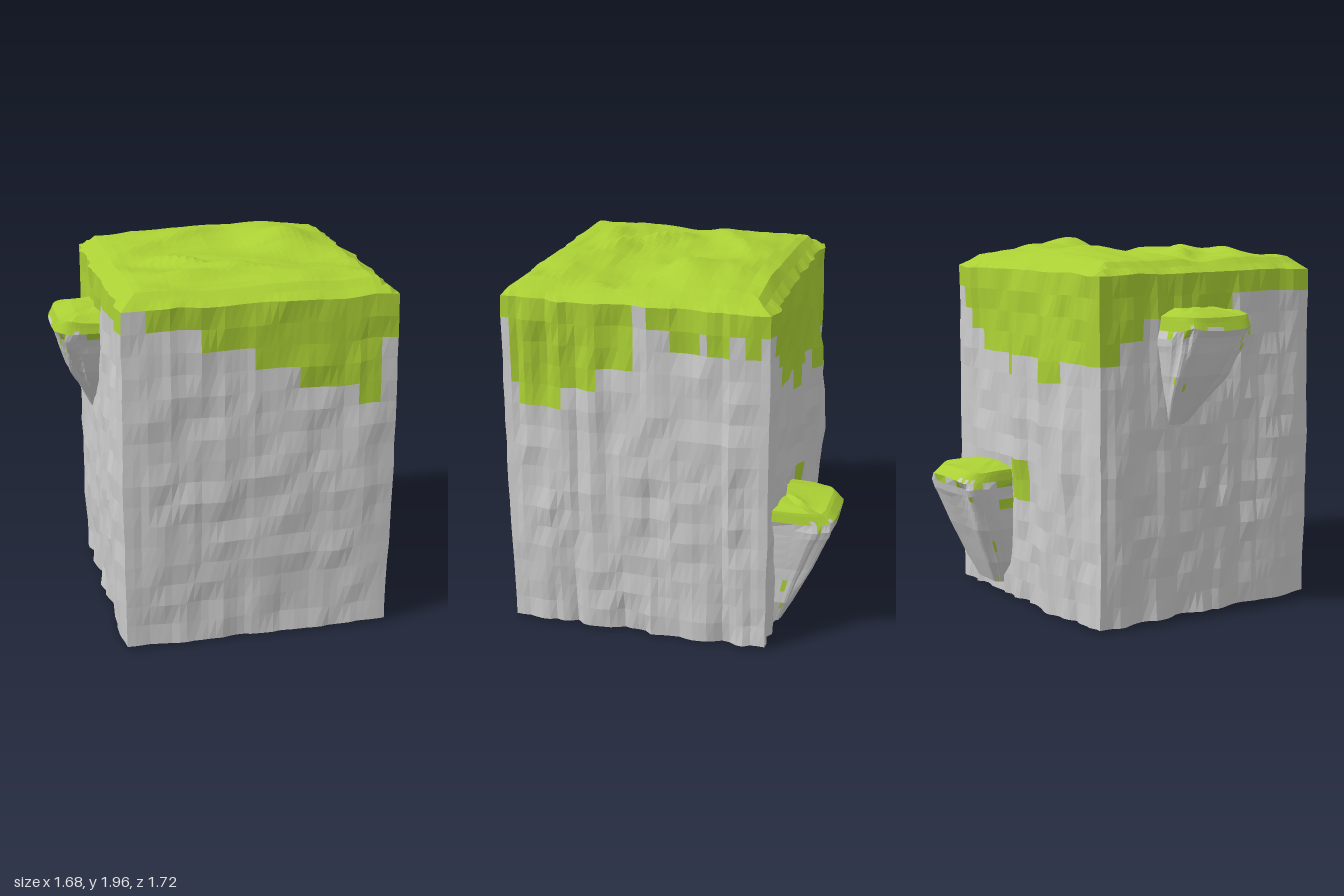
import * as THREE from 'three';

const ROCK = new THREE.MeshStandardMaterial({ color: 0xcccccc, flatShading: true });
const MOSS = new THREE.MeshStandardMaterial({ color: 0xaacf34, flatShading: true });
const X0 = -0.6, X1 = 0.78, Z0 = -0.55, Z1 = 0.81;
const N = 36, ROWS = 16;
const lerp = THREE.MathUtils.lerp, clamp = THREE.MathUtils.clamp;

// Seeded value noise in -1..1
function hash(i, j, s) {
  const v = Math.sin(i * 127.1 + j * 311.7 + s * 74.7) * 43758.5453;
  return 2 * (v - Math.floor(v)) - 1;
}
function noise(a, b, s) {
  const i = Math.floor(a), j = Math.floor(b);
  return lerp(lerp(hash(i, j, s), hash(i + 1, j, s), a - i),
    lerp(hash(i, j + 1, s), hash(i + 1, j + 1, s), a - i), b - j);
}
const bell = (x, c, s) => Math.exp(-(((x - c) / s) ** 2));

// Humps of the top, [x, z, width, length behind, length in front, rise, skew]
const HUMPS = [
  [0.42, -0.05, 0.2, 0.2, 0.13, 0.085, 0], [0.3, -0.3, 0.35, 0.14, 0.15, 0.035, 0],
  [-0.12, -0.2, 0.3, 0.25, 0.07, 0.045, -0.5], [-0.22, 0.24, 0.12, 0.1, 0.06, 0.055, 0.5],
  [0.05, 0.44, 0.2, 0.08, 0.06, 0.04, 0.3], [-0.2, 0.53, 0.16, 0.08, 0.07, 0.045, 0],
  [0.5, 0.24, 0.25, 0.1, 0.12, -0.035, 0], [0.4, -0.5, 0.25, 0.05, 0.05, 0.03, 0],
  [-0.4, 0.1, 0.18, 0.12, 0.1, -0.02, 0], [0.3, 0.6, 0.3, 0.08, 0.06, 0.015, 0],
];
function height(x, z) {
  const edge = Math.min(x - X0, X1 - x, z - Z0, Z1 - z);
  let h = 0.055 + 0.014 * noise(x * 5, z * 9, 3) + 0.006 * noise(x * 9, z * 20, 4);
  for (const [cx, cz, sx, back, front, rise, skew] of HUMPS) {
    const dz = z - cz - skew * (x - cx);
    h += rise * bell(x, cx, sx) * bell(dz, 0, dz > 0 ? front : back);
  }
  const rim = 1.812 + 0.01 * noise(x * 6, z * 6, 8);
  return Math.min(2, rim + clamp(edge / 0.085, 0, 1) * (h + 0.012));
}

// Outward relief of one wall: swell, upright ribs and small chips, calm at the corners
function relief(s, a, b, t, seed, swell, ribs) {
  const calm = lerp(0.3, 1, clamp(Math.min(s - a, b - s) / 0.12, 0, 1));
  return calm * (swell * Math.sin(Math.PI * clamp(t, 0.04, 0.85)) + ribs * noise(s * 19, t * 2.5, seed)
    + 0.011 * noise(s * 10, t * ROWS, seed + 5));
}
function backRibs(x, t) {
  const y = t * 1.8;
  const crest = y > 1.37 ? clamp((1.8 - y) / 0.43, 0, 1) : lerp(0.45, 1, y / 1.37);
  return crest * 0.095 * bell(x, -0.18, 0.07)
    + (0.055 * bell(x, -0.36, 0.06) + 0.035 * bell(x, 0.13, 0.05)) * Math.sin(Math.PI * t);
}

// A point of the block; t runs from its foot (0) to its rim (1)
function blockPoint(x, t, z) {
  const p = new THREE.Vector3(x, lerp(0.015 + 0.01 * noise(x * 8, z * 8, 2), height(x, z), t), z);
  const e = 1e-5;
  if (x > X1 - e) p.x += relief(z, Z0, Z1, t, 11, 0.028, 0.024);
  if (x < X0 + e) p.x -= relief(z, Z0, Z1, t, 21, 0.028, 0.022);
  if (z > Z1 - e) p.z += relief(x, X0, X1, t, 31, 0.026, 0.007);
  if (z < Z0 + e) p.z -= relief(x, X0, X1, t, 41, 0.018, 0.022) + backRibs(x, t);
  return p;
}

// Grid of quads, shared out between a rock mesh and a moss mesh
function patch(name, cols, rows, point, isMoss) {
  const parts = { Rock: [], Moss: [] };
  for (let j = 0; j < rows; j++) for (let i = 0; i < cols; i++) {
    const a = point(i / cols, j / rows), b = point((i + 1) / cols, j / rows);
    const c = point((i + 1) / cols, (j + 1) / rows), d = point(i / cols, (j + 1) / rows);
    const list = isMoss((i + 0.5) / cols, (j + 0.5) / rows) ? parts.Moss : parts.Rock;
    for (const p of [a, b, c, a, c, d]) list.push(p.x, p.y, p.z);
  }
  const group = new THREE.Group();
  group.name = name;
  for (const key of ['Rock', 'Moss']) {
    if (!parts[key].length) continue;
    const geo = new THREE.BufferGeometry();
    geo.setAttribute('position', new THREE.Float32BufferAttribute(parts[key], 3));
    geo.computeVertexNormals();
    const mesh = new THREE.Mesh(geo, key === 'Moss' ? MOSS : ROCK);
    mesh.name = name + key;
    group.add(mesh);
  }
  return group;
}

// Stepped moss borders: pairs of [end of step, lowest mossy height]
const border = (steps, s, t) => t * 1.8 > (steps.find(([end]) => s <= end) ?? [0, 1.8])[1];
const FRONT_MOSS = [[-0.5, 1.8], [-0.2, 1.69], [0.05, 1.58], [0.3, 1.47], [0.59, 1.36], [0.72, 1.25], [0.78, 1.58]];
const LEFT_MOSS = [[-0.5, 1.69], [-0.42, 1.58], [-0.35, 1.69], [-0.25, 1.58], [-0.2, 1.69], [-0.07, 1.58],
  [0.05, 1.74], [0.14, 1.8], [0.31, 1.47], [0.51, 1.36], [0.72, 1.25], [0.77, 1.36], [0.81, 1.69]];
const BACK_MOSS = [[-0.3, 1.36], [-0.1, 1.25], [0.15, 1.36], [0.25, 1.25], [0.5, 1.36], [0.62, 1.47], [0.7, 1.58], [0.78, 1.74]];
const RIGHT_MOSS = [[-0.45, 1.36], [-0.3, 1.47], [0.3, 1.58], [0.7, 1.69], [0.81, 1.74]];

// Ledge facing local +z, from sections [height, depth, half width, sideways shift]
function ledge(name, sections, seed) {
  const rows = 21, lip = 4;
  const point = (u, v) => {
    const f = v * (sections.length - 1), k = Math.min(Math.floor(f), sections.length - 2);
    const [y, d, w, shift] = sections[k].map((a, i) => lerp(a, sections[k + 1][i], f - k));
    const c = Math.cos(Math.PI * u), s = Math.max(0, Math.sin(Math.PI * u));
    const groove = f < lip ? 1 + 0.09 * noise(u * 14, v * 4, seed) : 1;
    const rough = f > 3 ? 0.014 * noise(u * 6, v * 9, seed + 3) * clamp(7 - f, 0, 1) : 0;
    return new THREE.Vector3(shift - w * Math.sign(c) * Math.abs(c) ** 0.4 * groove, y + rough,
      -0.03 + (d + 0.03) * s ** 0.4 * groove);
  };
  const isMoss = (u, v) => v * (sections.length - 1) > lip + 0.3 * hash(Math.floor(u * 24), 0, seed)
    || hash(Math.floor(u * 24), Math.floor(v * rows), seed) > 0.95;
  return patch(name, 24, rows, point, isMoss);
}

export function createModel() {
  const model = new THREE.Group();
  model.name = 'mossyRockBlock';
  const xAt = (u) => lerp(X0, X1, u), zAt = (u) => lerp(Z0, Z1, u);

  // Four walls
  model.add(patch('frontWall', N, ROWS, (u, t) => blockPoint(xAt(u), t, Z1),
    (u, t) => border(FRONT_MOSS, xAt(u), t)));
  model.add(patch('leftWall', N, ROWS, (u, t) => blockPoint(X1, t, zAt(1 - u)),
    (u, t) => border(LEFT_MOSS, zAt(1 - u), t)));
  model.add(patch('backWall', N, ROWS, (u, t) => blockPoint(xAt(1 - u), t, Z0), (u, t) => {
    const x = xAt(1 - u), y = t * 1.8;
    return border(BACK_MOSS, x, t) || (x > 0.05 && x < 0.22 && y > 0.56 && y < 0.8);
  }));
  model.add(patch('rightWall', N, ROWS, (u, t) => blockPoint(X0, t, zAt(u)),
    (u, t) => border(RIGHT_MOSS, zAt(u), t)));

  // Grassy top and plain underside
  model.add(patch('top', N, N, (u, v) => blockPoint(xAt(u), 1, zAt(1 - v)), () => true));
  model.add(patch('underside', N, N, (u, v) => blockPoint(xAt(u), 0, zAt(v)), () => false));

  // Two mossy ledges
  const sideLedge = ledge('sideLedge', [[1.04, 0.03, 0.06, -0.12], [1.18, 0.1, 0.13, -0.08],
    [1.3, 0.17, 0.18, -0.05], [1.42, 0.215, 0.21, -0.02], [1.54, 0.245, 0.235, 0],
    [1.6, 0.22, 0.225, 0], [1.625, 0.13, 0.13, 0], [1.635, 0, 0, 0]], 51);
  sideLedge.position.set(X0, 0, 0.035);
  sideLedge.rotation.y = -Math.PI / 2;
  const backLedge = ledge('backLedge', [[0.07, 0.04, 0.12, -0.03], [0.2, 0.11, 0.175, -0.02],
    [0.4, 0.21, 0.2, 0], [0.57, 0.275, 0.215, 0], [0.68, 0.315, 0.22, 0],
    [0.73, 0.26, 0.21, 0], [0.75, 0.14, 0.13, 0], [0.76, 0, 0, 0]], 61);
  backLedge.position.set(0.43, 0, Z0);
  backLedge.rotation.y = Math.PI;
  model.add(sideLedge, backLedge);
  return model;
}
